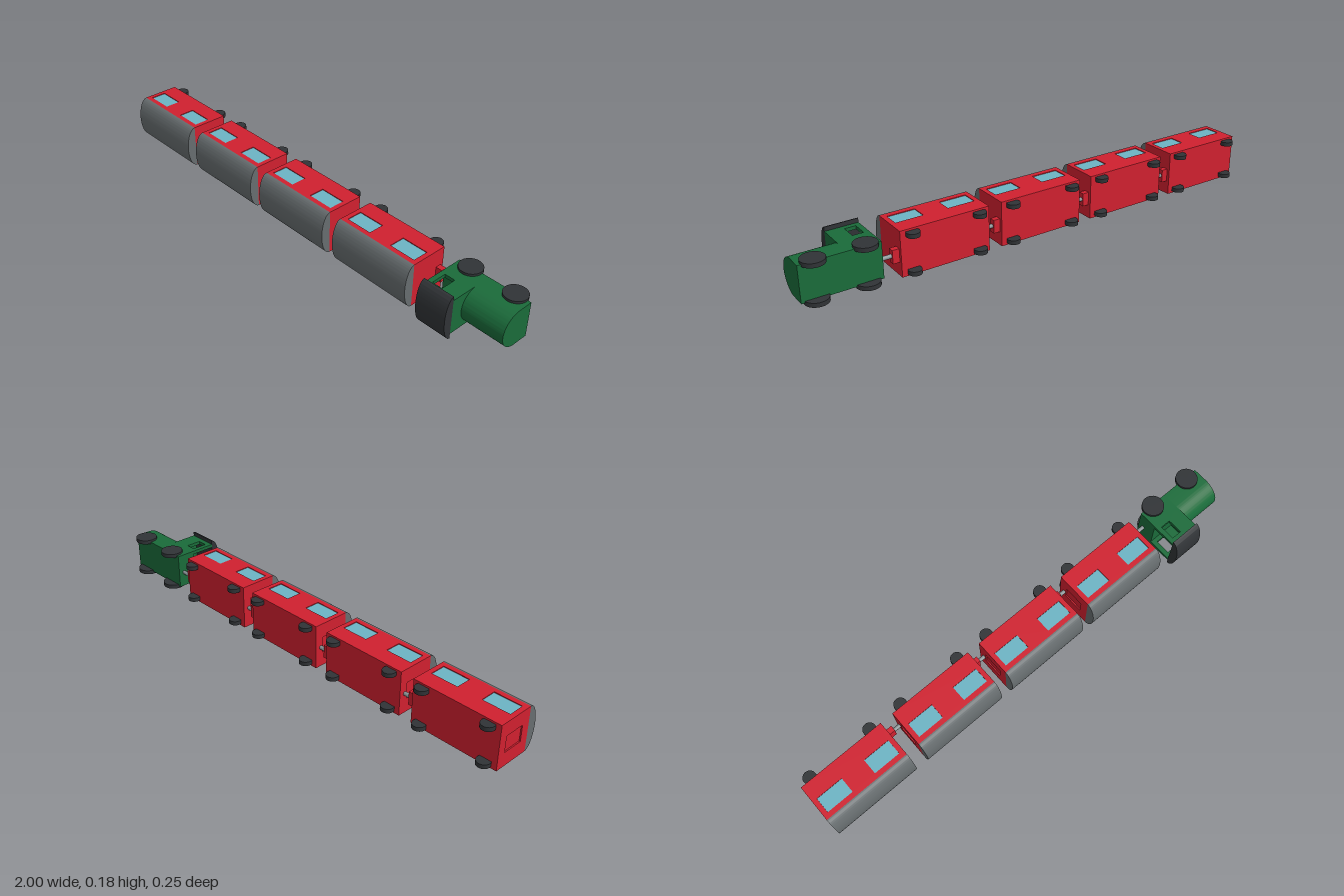
import * as THREE from 'three';
import { toCreasedNormals } from 'three/addons/utils/BufferGeometryUtils.js';

// The train lies on its side: roofs face +z, wheels face -z, it runs along x.
const mat = (color) => new THREE.MeshStandardMaterial({ color });
const RED = mat(0xd0202f), GREEN = mat(0x1a6b3a), ROOF = mat(0x666c6e), DARK = mat(0x303336);
const GLASS = mat(0x6cb4c4), DOOR = mat(0xc8962a), STEEL = mat(0x8a9496);
const X = new THREE.Vector3(1, 0, 0), Y = new THREE.Vector3(0, 1, 0), Z = new THREE.Vector3(0, 0, 1);
const MID = 0.091; // height of the train's centre line

function add(group, name, geometry, material) {
  const mesh = new THREE.Mesh(geometry, material);
  mesh.name = name;
  group.add(mesh);
  return mesh;
}

// Box given by its limits on each axis
function box(group, name, material, [x0, x1], [y0, y1], [z0, z1]) {
  const mesh = add(group, name, new THREE.BoxGeometry(x1 - x0, y1 - y0, z1 - z0), material);
  mesh.position.set((x0 + x1) / 2, (y0 + y1) / 2, (z0 + z1) / 2);
  return mesh;
}

function extrude(shape, depth, u, v, w) {
  const g = new THREE.ExtrudeGeometry(shape, { depth, bevelEnabled: false, curveSegments: 32 });
  g.applyMatrix4(new THREE.Matrix4().makeBasis(u, v, w));
  return toCreasedNormals(g, 0.6);
}
// Profile in (y, z) swept along x
const alongX = (shape, x0, x1) => extrude(shape, x1 - x0, Y, Z, X).translate(x0, 0, 0);
// Profile in (z, x) swept along y
const alongY = (shape, y0, y1) => extrude(shape, y1 - y0, Z, X, Y).translate(0, y0, 0);

function rect(Type, [u0, u1], [v0, v1]) {
  const p = new Type();
  p.moveTo(u0, v0);
  p.lineTo(u1, v0);
  p.lineTo(u1, v1);
  p.lineTo(u0, v1);
  p.closePath();
  return p;
}
function panel(u, v, holes) {
  const s = rect(THREE.Shape, u, v);
  for (const [hu, hv] of holes) s.holes.push(rect(THREE.Path, hu, hv));
  return s;
}
// Half ellipse roof
function roofShape(z, rise) {
  const s = new THREE.Shape();
  s.absellipse(MID, z, MID, rise, 0, Math.PI, false, 0);
  s.closePath();
  return s;
}

function wheels(group, xs, z, radius) {
  for (const x of xs) {
    for (const y of [0.018, 0.166]) {
      const w = add(group, 'wheel', new THREE.CylinderGeometry(radius, radius, 0.017, 32), DARK);
      w.position.set(x, y, z);
    }
  }
}

function coach(length) {
  const g = new THREE.Group();
  g.name = 'coach';
  const h = length / 2, top = MID * 2, t = 0.005;
  const bodyZ = [-0.09, 0.065], winZ = [-0.02, 0.045], winX = 0.056, off = 0.107;

  // Body core, with outer panels that leave recesses for windows and doors
  box(g, 'body', RED, [-h + t, h], [t, top - t], bodyZ);
  const windows = [-off, off].map((x) => [winZ, [x - winX, x + winX]]);
  const door = [winZ, [-0.028, 0.028]];
  add(g, 'leftSide', alongY(panel(bodyZ, [-h + t, h], windows), top - t, top), RED);
  add(g, 'rightSide', alongY(panel(bodyZ, [-h + t, h], [...windows, door]), 0, t), RED);
  add(g, 'rearPanel', alongX(panel([0, top], bodyZ, [[[0.058, 0.124], [-0.055, 0.03]]]), -h, -h + t), RED);
  for (const [z, x] of windows) {
    box(g, 'window', GLASS, x, [top - t, top - t + 0.002], z);
    box(g, 'window', GLASS, x, [t - 0.002, t], z);
  }
  box(g, 'door', DOOR, door[1], [t - 0.002, t], door[0]);

  // Rounded roof
  add(g, 'roof', alongX(roofShape(0.065, 0.04), -h, h), ROOF);

  wheels(g, [-0.137, 0.137], -0.101, 0.026);

  // Coupler block and rod
  box(g, 'couplerBlock', RED, [h, h + 0.027], [0.056, 0.11], [-0.077, -0.054]);
  const rod = add(g, 'couplerRod', new THREE.CylinderGeometry(0.008, 0.008, 0.055, 16), STEEL);
  rod.rotation.z = Math.PI / 2;
  rod.position.set(h + 0.047, 0.083, -0.065);
  return g;
}

function locomotive() {
  const g = new THREE.Group();
  g.name = 'locomotive';
  const y0 = 0.02, y1 = 0.165, r = (y1 - y0) / 2, x0 = 0.695, x1 = 0.825, t = 0.014;

  // Round-topped engine hood
  const hood = new THREE.Shape();
  hood.moveTo(y0, -0.09);
  hood.lineTo(y1, -0.09);
  hood.absarc((y0 + y1) / 2, -0.028, r, 0, Math.PI, false);
  hood.closePath();
  add(g, 'hood', alongX(hood, x1, 1), GREEN);

  // Cab: floor, front wall, two side walls with open windows, open rear
  box(g, 'cabBase', GREEN, [x0, x1], [y0, y1], [-0.09, -0.01]);
  box(g, 'cabFront', GREEN, [x1 - t, x1], [y0, y1], [-0.01, 0.092]);
  const side = panel([-0.01, 0.092], [x0, x1 - t], [[[0.008, 0.072], [0.715, 0.758]]]);
  add(g, 'cabSide', alongY(side, y0, y0 + t), GREEN);
  add(g, 'cabSide', alongY(side, y1 - t, y1), GREEN);
  add(g, 'cabRoof', alongX(roofShape(0.092, 0.036), x0, x1), DARK);

  wheels(g, [0.752, 0.942], -0.082, 0.045);
  return g;
}

export function createModel() {
  const train = new THREE.Group();
  train.name = 'train';
  for (let i = 0; i < 4; i++) {
    const c = coach(0.365);
    c.position.x = -0.8175 + i * 0.42;
    train.add(c);
  }
  train.add(locomotive());
  return train;
}
